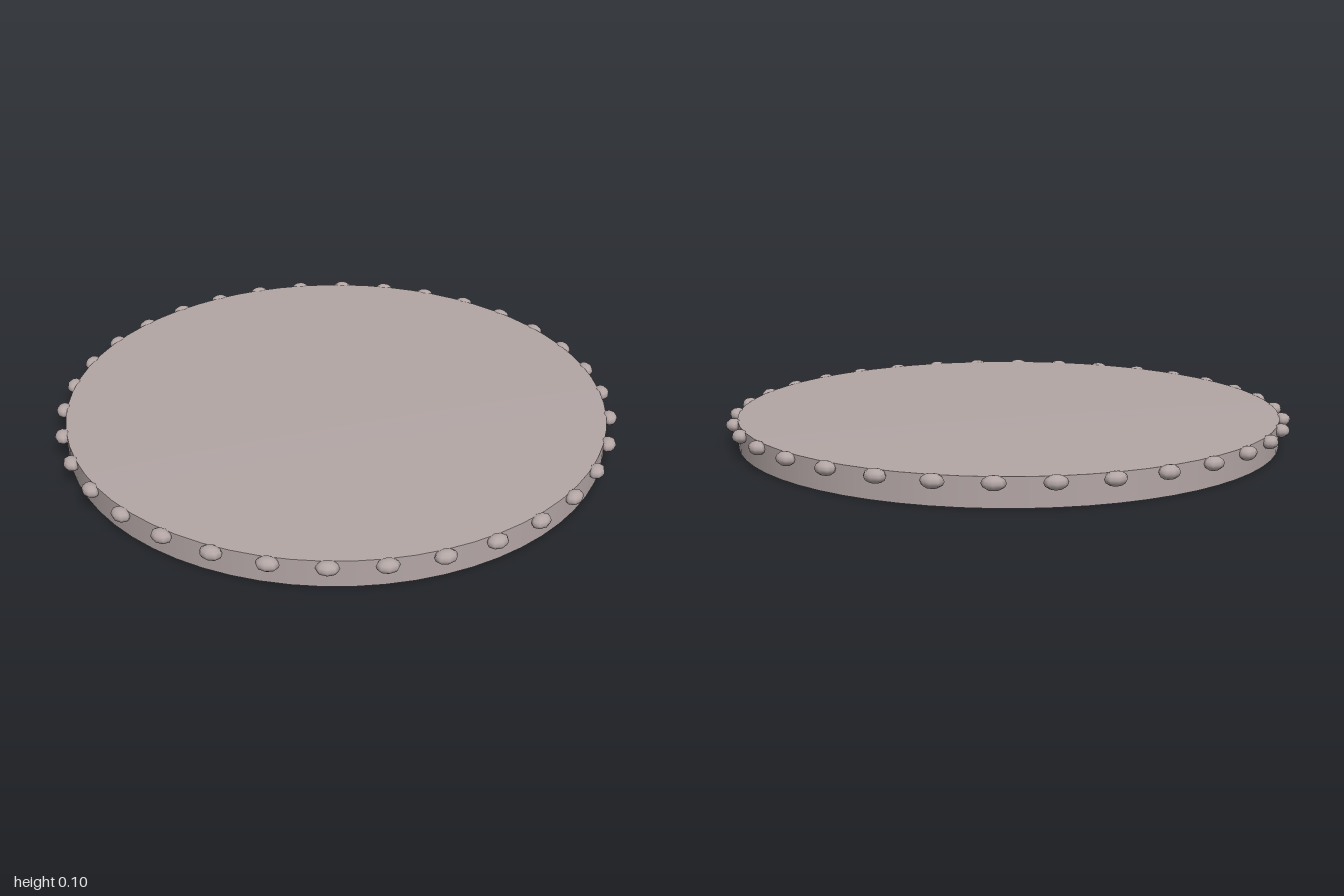
import * as THREE from 'three';

const RADIUS = 0.96;
const RIM_Y = 0.095;
const BEADS = 34;

export function createModel() {
  const model = new THREE.Group();
  model.name = 'beadedLid';
  const metal = new THREE.MeshStandardMaterial({ color: 0xb3a6a5, side: THREE.DoubleSide });
  metal.name = 'warm grey';

  const add = (name, geometry, parent = model) => {
    const mesh = new THREE.Mesh(geometry, metal);
    mesh.name = name;
    parent.add(mesh);
    return mesh;
  };

  // Very shallow domed top, turned from rim to centre
  const profile = [];
  for (let i = 0; i <= 8; i++) {
    const t = 1 - i / 8;
    profile.push(new THREE.Vector2(RADIUS * t, RIM_Y + 0.009 * (1 - t * t)));
  }
  add('domedTop', new THREE.LatheGeometry(profile, 64));

  // Thin side wall, open underneath
  const wall = new THREE.CylinderGeometry(RADIUS, RADIUS, RIM_Y, 64, 1, true);
  wall.translate(0, RIM_Y / 2, 0);
  add('sideWall', wall);

  // Flattened beads set through the wall just below the rim
  const beads = new THREE.Group();
  beads.name = 'rimBeads';
  model.add(beads);
  const beadShape = new THREE.SphereGeometry(1, 8, 6);
  beadShape.scale(0.028, 0.023, 0.038);
  for (let i = 0; i < BEADS; i++) {
    const a = (i / BEADS) * Math.PI * 2;
    const bead = add('bead', beadShape, beads);
    bead.position.set(0.972 * Math.cos(a), 0.079, 0.972 * Math.sin(a));
    bead.rotation.y = -a;
  }
  return model;
}
